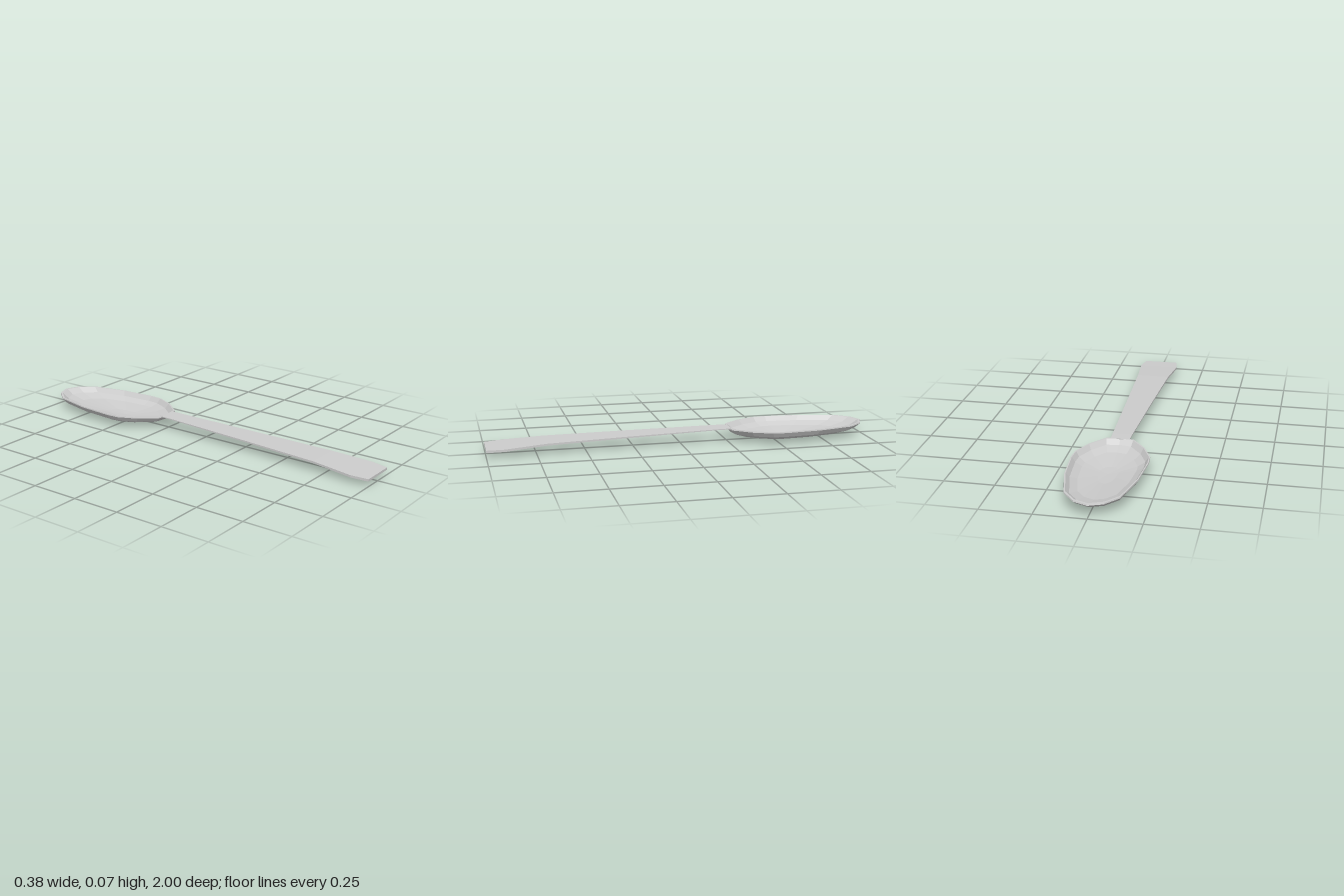
import * as THREE from 'three';

const material = new THREE.MeshStandardMaterial({ color: 0xcccccc, flatShading: true });

// Joins closed loops (counter-clockwise seen along the travel direction) and caps both ends with fans.
function loft(name, loops, startCentre, endCentre) {
  const n = loops[0].length;
  const last = loops.length - 1;
  const positions = [...loops.flat(), startCentre, endCentre].flat();
  const start = loops.length * n;
  const index = [];
  for (let i = 0; i < n; i++) {
    const j = (i + 1) % n;
    for (let k = 0; k < last; k++) {
      const a = k * n, b = a + n;
      index.push(a + i, a + j, b + j, a + i, b + j, b + i);
    }
    index.push(start, j, i, start + 1, last * n + i, last * n + j);
  }
  const geometry = new THREE.BufferGeometry();
  geometry.setAttribute('position', new THREE.Float32BufferAttribute(positions, 3));
  geometry.setIndex(index);
  const flat = geometry.toNonIndexed();
  flat.computeVertexNormals();
  const mesh = new THREE.Mesh(flat, material);
  mesh.name = name;
  return mesh;
}

// Bowl: an egg-shaped outline scaled about the deepest point
function makeBowl() {
  const half = [[0.07, -0.262], [0.14, -0.35], [0.185, -0.45], [0.19, -0.52],
    [0.175, -0.71], [0.13, -0.9], [0.07, -0.972]];
  const outline = [[0, -0.25], ...half, [0, -1], ...half.map(([x, z]) => [-x, z]).reverse()];
  const zc = -0.55;
  // [scale, height]: outside from the bottom up, over the rim, then down the inside
  const rings = [[0.25, 0.005], [0.72, 0.022], [0.92, 0.041], [1, 0.065], [0.995, 0.071],
    [0.965, 0.071], [0.88, 0.047], [0.7, 0.029], [0.25, 0.013]];
  const loops = rings.map(([s, y]) => outline.map(([x, z]) => [x * s, y, zc + (z - zc) * s]));
  return loft('bowl', loops, [0, 0, zc], [0, 0.01, zc]);
}

// Handle: thin rectangular sections, widening and drooping towards the end
function makeHandle() {
  // [z, half width, top, thickness]
  const sections = [[-0.265, 0.048, 0.071, 0.005], [-0.2, 0.05, 0.071, 0.005],
    [0.3, 0.07, 0.063, 0.008], [0.7, 0.088, 0.055, 0.01],
    [0.91, 0.106, 0.042, 0.012], [1, 0.092, 0.038, 0.012]];
  const loops = sections.map(([z, w, y, t]) => [[-w, y - t, z], [w, y - t, z], [w, y, z], [-w, y, z]]);
  return loft('handle', loops, [0, 0.0685, -0.265], [0, 0.032, 1]);
}

export function createModel() {
  const spoon = new THREE.Group();
  spoon.name = 'spoon';
  spoon.add(makeBowl(), makeHandle());
  return spoon;
}
